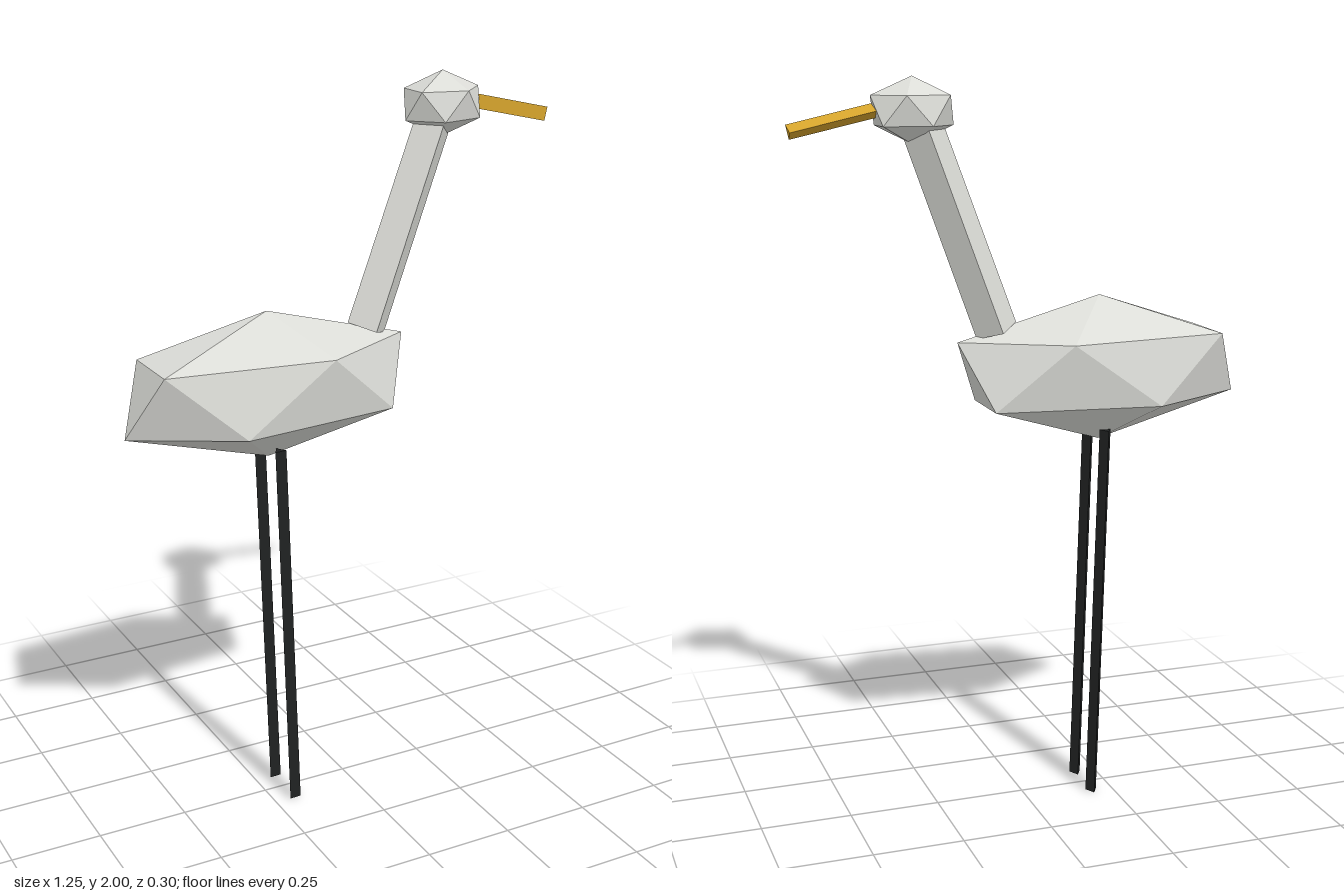
import * as THREE from 'three';

const feathers = new THREE.MeshStandardMaterial({ color: 0xdbdcd7 });
const beakGold = new THREE.MeshStandardMaterial({ color: 0xd6a42c });
const legBlack = new THREE.MeshStandardMaterial({ color: 0x202222 });

// Stretched icosahedron with one corner straight up and the upper ring pointing to +x
function facetedBall(name, center, radii) {
  const geometry = new THREE.IcosahedronGeometry(1, 0);
  geometry.rotateZ(-Math.atan(2 / (1 + Math.sqrt(5))));
  geometry.scale(...radii);
  const mesh = new THREE.Mesh(geometry, feathers);
  mesh.name = name;
  mesh.position.set(...center);
  return mesh;
}

// Flat-sided rod between two points in a plane of constant z, first corner towards -z
function rod(name, material, sides, start, end, startRadius, endRadius, z = 0) {
  const dx = end[0] - start[0];
  const dy = end[1] - start[1];
  const geometry = new THREE.CylinderGeometry(endRadius, startRadius, Math.hypot(dx, dy), sides)
    .rotateY(Math.PI)
    .toNonIndexed();
  geometry.computeVertexNormals();
  const mesh = new THREE.Mesh(geometry, material);
  mesh.name = name;
  mesh.position.set((start[0] + end[0]) / 2, (start[1] + end[1]) / 2, z);
  mesh.rotation.z = Math.atan2(-dx, dy);
  return mesh;
}

export function createModel() {
  const bird = new THREE.Group();
  bird.name = 'wadingBird';

  bird.add(facetedBall('body', [-0.223, 1.219, 0], [0.451, 0.2, 0.179]));
  bird.add(facetedBall('head', [0.295, 1.915, 0], [0.123, 0.086, 0.09]));

  // Four-sided neck and three-sided beak
  bird.add(rod('neck', feathers, 4, [0.071, 1.335], [0.28, 1.9], 0.059, 0.056));
  bird.add(rod('beak', beakGold, 3, [0.33, 1.929], [0.617, 1.864], 0.022, 0.022));

  // Slightly slanted three-sided legs
  for (const [name, z] of [['frontLeg', 0.065], ['backLeg', -0.065]]) {
    bird.add(rod(name, legBlack, 3, [-0.19, 0.001], [-0.222, 1.055], 0.0185, 0.0185, z));
  }
  return bird;
}
